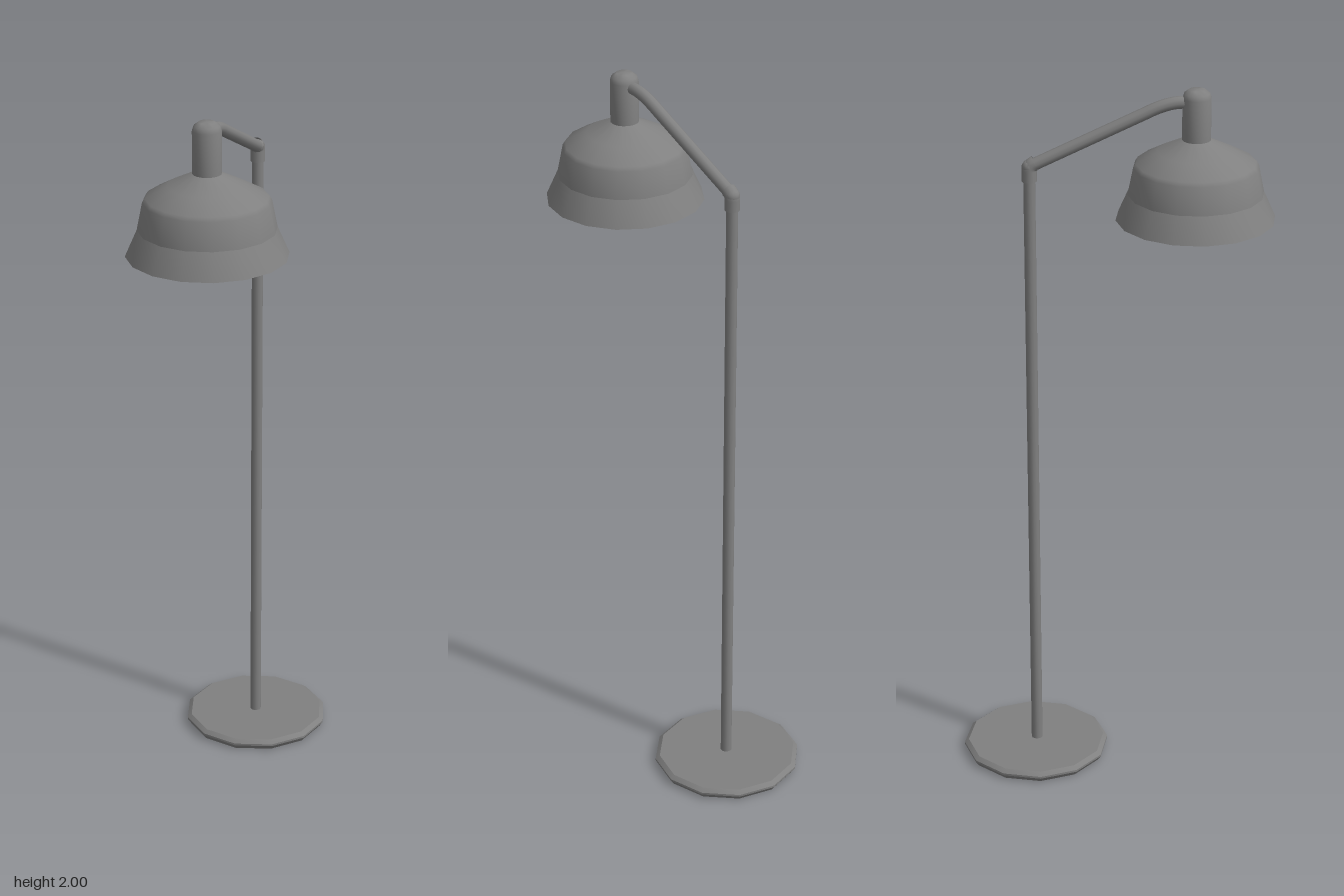
import * as THREE from 'three';
import { toCreasedNormals } from 'three/addons/utils/BufferGeometryUtils.js';

const POLE_Z = -0.227;
const SHADE_Z = 0.221;

export function createModel() {
  const lamp = new THREE.Group();
  lamp.name = 'floorLamp';

  const metal = new THREE.MeshStandardMaterial({ color: 0x808080, side: THREE.DoubleSide });
  metal.name = 'grey metal';
  const glass = new THREE.MeshStandardMaterial({ color: 0xd6da90 });
  glass.name = 'pale yellow glass';

  const add = (name, geometry, material, y = 0, z = 0) => {
    const mesh = new THREE.Mesh(geometry, material);
    mesh.name = name;
    mesh.position.set(0, y, z);
    lamp.add(mesh);
  };
  // Turned part from [radius, height] pairs, listed so that the faces point outward
  const turned = (profile, sides, crease) => toCreasedNormals(
    new THREE.LatheGeometry(profile.map(([r, y]) => new THREE.Vector2(r, y)), sides), crease);
  const p = (y, z) => new THREE.Vector3(0, y, z);

  // Twelve-sided foot, chamfered above and below
  add('base', turned([[0, 0], [0.2, 0], [0.21, 0.014], [0.21, 0.02], [0.198, 0.03], [0, 0.03]],
    12, 0.6), metal, 0, -0.23);

  // Upright pole
  add('pole', new THREE.CylinderGeometry(0.016, 0.016, 1.77, 12), metal, 0.905, POLE_Z);

  // Bent sleeve joining the pole to the arm
  const bend = new THREE.CurvePath();
  bend.add(new THREE.LineCurve3(p(1.757, POLE_Z), p(1.788, POLE_Z)));
  bend.add(new THREE.QuadraticBezierCurve3(p(1.788, POLE_Z), p(1.801, POLE_Z), p(1.807, -0.212)));
  add('elbow', new THREE.TubeGeometry(bend, 16, 0.0205, 12), metal);
  add('elbowCorner', new THREE.SphereGeometry(0.0205, 12, 8), metal, 1.797, POLE_Z);

  // Sloping arm that bends level where it meets the socket
  const arm = new THREE.CurvePath();
  arm.add(new THREE.LineCurve3(p(1.798, POLE_Z), p(1.938, 0.085)));
  arm.add(new THREE.QuadraticBezierCurve3(p(1.938, 0.085), p(1.965, 0.14), p(1.965, 0.18)));
  arm.add(new THREE.LineCurve3(p(1.965, 0.18), p(1.965, SHADE_Z)));
  add('arm', new THREE.TubeGeometry(arm, 40, 0.017, 10), metal);

  // Socket with a domed top
  add('socket', turned([[0, 1.845], [0.039, 1.845], [0.039, 1.976], [0.035, 1.989], [0.022, 1.999],
    [0, 2]], 16, 0.8), metal, 0, SHADE_Z);

  // Flared shade: a straight skirt, an upright band and a sloping crown
  const skirt = [[0.217, 1.638], [0.185, 1.71]];
  const band = [[0.185, 1.71], [0.17, 1.785], [0.163, 1.796]];
  const crown = [[0.163, 1.796], [0.105, 1.828], [0.038, 1.861]];
  add('shadeSkirt', turned(skirt, 16, 0.6), metal, 0, SHADE_Z);
  add('shadeTop', turned([...band, ...crown.slice(1)], 16, 0.6), metal, 0, SHADE_Z);

  // Shallow reflector closing the underside around the bulb
  add('reflector', turned([[0.07, 1.702], [0.15, 1.676], [0.217, 1.638]], 16, 0.6),
    metal, 0, SHADE_Z);

  // Low-poly smooth bulb, half sunk in the reflector
  add('bulb', new THREE.SphereGeometry(0.087, 8, 6), glass, 1.702, SHADE_Z);

  return lamp;
}
